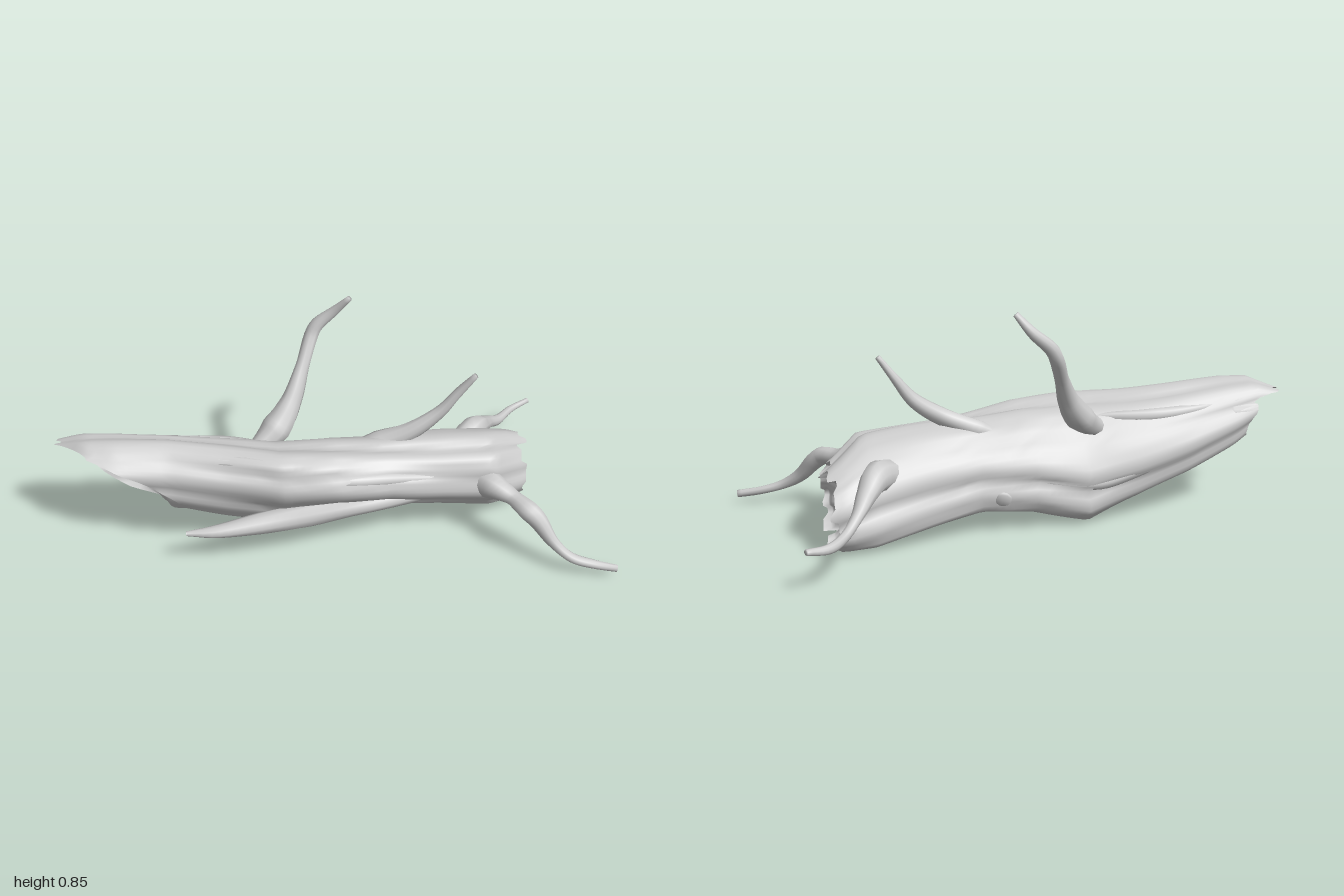
import * as THREE from 'three';

const { lerp, clamp, smoothstep } = THREE.MathUtils;
const TAU = Math.PI * 2;
const SIDES = 56;

// Trunk sections: x, centre y, centre z, half height, half depth, lean of the section
const SECTIONS = [
  [-1.0, 0.40, -0.10, 0.035, 0.06, 0.0],
  [-0.9, 0.38, -0.055, 0.09, 0.12, 0.1],
  [-0.8, 0.35, -0.05, 0.12, 0.135, 0.15],
  [-0.6, 0.3, -0.05, 0.158, 0.14, 0.2],
  [-0.4, 0.255, -0.035, 0.187, 0.155, 0.3],
  [-0.2, 0.22, -0.015, 0.212, 0.17, 0.42],
  [0.0, 0.245, 0.0, 0.18, 0.17, 0.42],
  [0.2, 0.24, 0.0, 0.16, 0.155, 0.4],
  [0.4, 0.213, -0.01, 0.165, 0.16, 0.45],
  [0.6, 0.183, -0.02, 0.175, 0.17, 0.42],
  [0.7, 0.155, -0.06, 0.15, 0.15, 0.27],
  [0.8, 0.13, -0.085, 0.125, 0.115, 0.12],
];

function section(x) {
  x = clamp(x, -1, 0.8);
  let i = 0;
  while (i < SECTIONS.length - 2 && x > SECTIONS[i + 1][0]) i++;
  const [p, q] = [SECTIONS[i], SECTIONS[i + 1]];
  const t = (x - p[0]) / (q[0] - p[0]);
  return p.map((v, k) => lerp(v, q[k], t));
}

// Bark surface at length x and angle a (0 = front, quarter turn = top)
function bark(x, a, scale = 1) {
  const [, cy, cz, ry, rz, lean] = section(x);
  const groove = (n, shift) => Math.pow(Math.abs(Math.sin(n * a / 2 + shift)), 0.6) - 0.7;
  const lobe = (centre, power) => Math.pow(Math.max(0, Math.cos(a - centre)), power);
  const r = scale * (1 + 0.11 * groove(7, 0.7 * Math.sin(2.2 * x) + 0.4)
    + 0.05 * groove(11, 1.5 * x + 0.6 * Math.sin(5 * x))
    + 0.035 * Math.sin(3 * a + 5 * x) + 0.02 * Math.sin(9 * x + 2 * a)
    - 0.15 * lobe(-1.1, 3) + 0.09 * lobe(-1.9, 8)
    + 0.2 * smoothstep(x, 0.1, 0.45) * lobe(2.45, 5));
  return new THREE.Vector3(x, cy + r * ry * Math.sin(a),
    cz + r * (rz * Math.cos(a) + lean * ry * Math.sin(a)));
}

// Jagged rims of the two broken ends
function jag(a, seed) {
  const k = Math.round(a / TAU * SIDES) % SIDES;
  const s = Math.sin((Math.floor(k / 2) + seed) * 127.1) * 43758.5453;
  return s - Math.floor(s) - 0.5;
}
function rimLeft(a) {
  const front = Math.pow(Math.max(0, Math.cos(a + 0.65)), 1.2);
  const below = Math.max(0, -Math.sin(a));
  const tip = smoothstep(Math.cos(a - 1.95), 0.6, 1);
  return -0.89 + 0.32 * front + 0.05 * below - 0.1 * tip + 0.04 * jag(a, 3);
}
function rimRight(a) {
  return 0.75 - 0.02 * Math.max(0, Math.cos(a)) + 0.06 * jag(a, 17);
}

// Surface from rings, closed around
function rings(nu, nv, point) {
  const pos = [], index = [];
  for (let i = 0; i <= nu; i++)
    for (let j = 0; j < nv; j++) pos.push(...point(i / nu, j / nv * TAU).toArray());
  for (let i = 0; i < nu; i++)
    for (let j = 0; j < nv; j++) {
      const k = (j + 1) % nv;
      const a = i * nv + j, b = a + nv, c = (i + 1) * nv + k, d = i * nv + k;
      index.push(a, b, c, a, c, d);
    }
  const g = new THREE.BufferGeometry();
  g.setAttribute('position', new THREE.Float32BufferAttribute(pos, 3));
  g.setIndex(index);
  g.computeVertexNormals();
  return g;
}

// Hollow from a rim (u = 0) to a sunken centre (u = 1)
function hollow(rim, centreX, u, a) {
  const p = bark(rim(a), a);
  const s = section(centreX);
  const c = new THREE.Vector3(centreX, s[1], s[2]);
  const x = lerp(p.x, c.x, Math.pow(u, 0.4)) + 0.008 * Math.sin(u * Math.PI) * Math.sin(3 * a + 5 * u);
  return p.lerp(c, Math.pow(u, 1.4)).setX(x);
}

// Tapered limb through points [x, y, z, radius]
function limb(points, sides = 10) {
  const curve = new THREE.CatmullRomCurve3(points.map(p => new THREE.Vector3(p[0], p[1], p[2])));
  const radius = t => {
    const f = t * (points.length - 1), i = Math.min(Math.floor(f), points.length - 2);
    return lerp(points[i][3], points[i + 1][3], f - i);
  };
  const n = points.length * 5;
  const { normals, binormals } = curve.computeFrenetFrames(n);
  return rings(n + 1, sides, (u, a) => {
    const i = Math.min(Math.round(u * (n + 1)), n);
    const end = u === 1 ? 0 : 1;
    const r = end * radius(curve.getUtoTmapping(i / n)) * (1 + 0.1 * Math.sin(2 * a + i * 0.3));
    return curve.getPointAt(i / n)
      .addScaledVector(normals[i], r * Math.cos(a))
      .addScaledVector(binormals[i], -r * Math.sin(a));
  });
}

const BRANCHES = {
  tallBranch: [[-0.3, 0.33, -0.06, 0.03], [-0.19, 0.4, -0.12, 0.055], [-0.12, 0.49, -0.17, 0.036],
    [-0.07, 0.59, -0.235, 0.029], [-0.025, 0.69, -0.297, 0.026], [-0.005, 0.725, -0.303, 0.024],
    [0.06, 0.785, -0.295, 0.018], [0.113, 0.85, -0.27, 0.011]],
  upperBranch: [[0.02, 0.31, -0.04, 0.025], [0.18, 0.365, -0.02, 0.042], [0.3, 0.42, 0.0, 0.032],
    [0.41, 0.497, 0.0, 0.025], [0.47, 0.575, 0.005, 0.019], [0.53, 0.66, 0.024, 0.01]],
  frontBranch: [[0.5, 0.23, 0.05, 0.06], [0.59, 0.245, 0.155, 0.055], [0.65, 0.235, 0.225, 0.03],
    [0.69, 0.222, 0.29, 0.036], [0.72, 0.195, 0.315, 0.032], [0.77, 0.125, 0.365, 0.023],
    [0.83, 0.08, 0.41, 0.019], [0.91, 0.057, 0.435, 0.016], [0.995, 0.045, 0.46, 0.013]],
  backBranch: [[0.46, 0.22, -0.06, 0.05], [0.58, 0.28, -0.155, 0.052], [0.64, 0.245, -0.23, 0.034],
    [0.69, 0.2, -0.3, 0.023], [0.75, 0.157, -0.365, 0.019], [0.82, 0.15, -0.435, 0.016],
    [0.9, 0.163, -0.468, 0.011]],
  frontSpur: [[-0.56, 0.175, 0.165, 0.01], [-0.46, 0.17, 0.165, 0.025], [-0.3, 0.178, 0.155, 0.037],
    [-0.1, 0.19, 0.145, 0.045], [0.12, 0.2, 0.125, 0.042], [0.35, 0.2, 0.08, 0.035]],
  frontKnob: [[0.0, 0.32, 0.07, 0.03], [0.06, 0.355, 0.09, 0.036], [0.11, 0.375, 0.105, 0.026]],
  backKnob: [[0.1, 0.17, -0.08, 0.06], [0.12, 0.15, -0.14, 0.042], [0.13, 0.14, -0.18, 0.026]],
};

// Raised bark strands: start x, end x, start angle, end angle, radius
const STRANDS = [
  [-0.85, -0.1, 2.5, 2.2, 0.026], [-0.7, 0.05, 1.1, 1.3, 0.024], [-0.3, 0.64, 0.75, 0.6, 0.026],
  [-0.2, 0.64, 5.0, 4.8, 0.028], [-0.7, 0.2, 3.6, 3.4, 0.026],
];

export function createModel() {
  const group = new THREE.Group();
  const material = new THREE.MeshStandardMaterial({ color: 0xcccccc, side: THREE.DoubleSide });
  const add = (name, geometry) => {
    const mesh = new THREE.Mesh(geometry, material);
    mesh.name = name;
    group.add(mesh);
  };

  // Trunk and its two hollow ends
  add('trunk', rings(64, SIDES, (u, a) => bark(lerp(rimLeft(a), rimRight(a), u), a)));
  add('leftHollow', rings(10, SIDES, (u, a) => hollow(rimLeft, -0.65, 1 - u, a)));
  add('rightHollow', rings(10, SIDES, (u, a) => hollow(rimRight, 0.69, u, a)));

  // Branches, spur and knobs
  for (const [name, points] of Object.entries(BRANCHES)) add(name, limb(points));

  // Strands running along the bark
  STRANDS.forEach(([x0, x1, a0, a1, r], i) => {
    const points = [];
    for (let k = 0; k <= 8; k++) {
      const t = k / 8;
      const swell = Math.sin(Math.PI * t);
      const p = bark(lerp(x0, x1, t), lerp(a0, a1, t) + 0.06 * Math.sin(5 * t + i), 0.78 + 0.12 * swell);
      points.push([p.x, p.y, p.z, r * (0.3 + 0.7 * swell)]);
    }
    add('barkStrand' + (i + 1), limb(points, 8));
  });

  return group;
}
